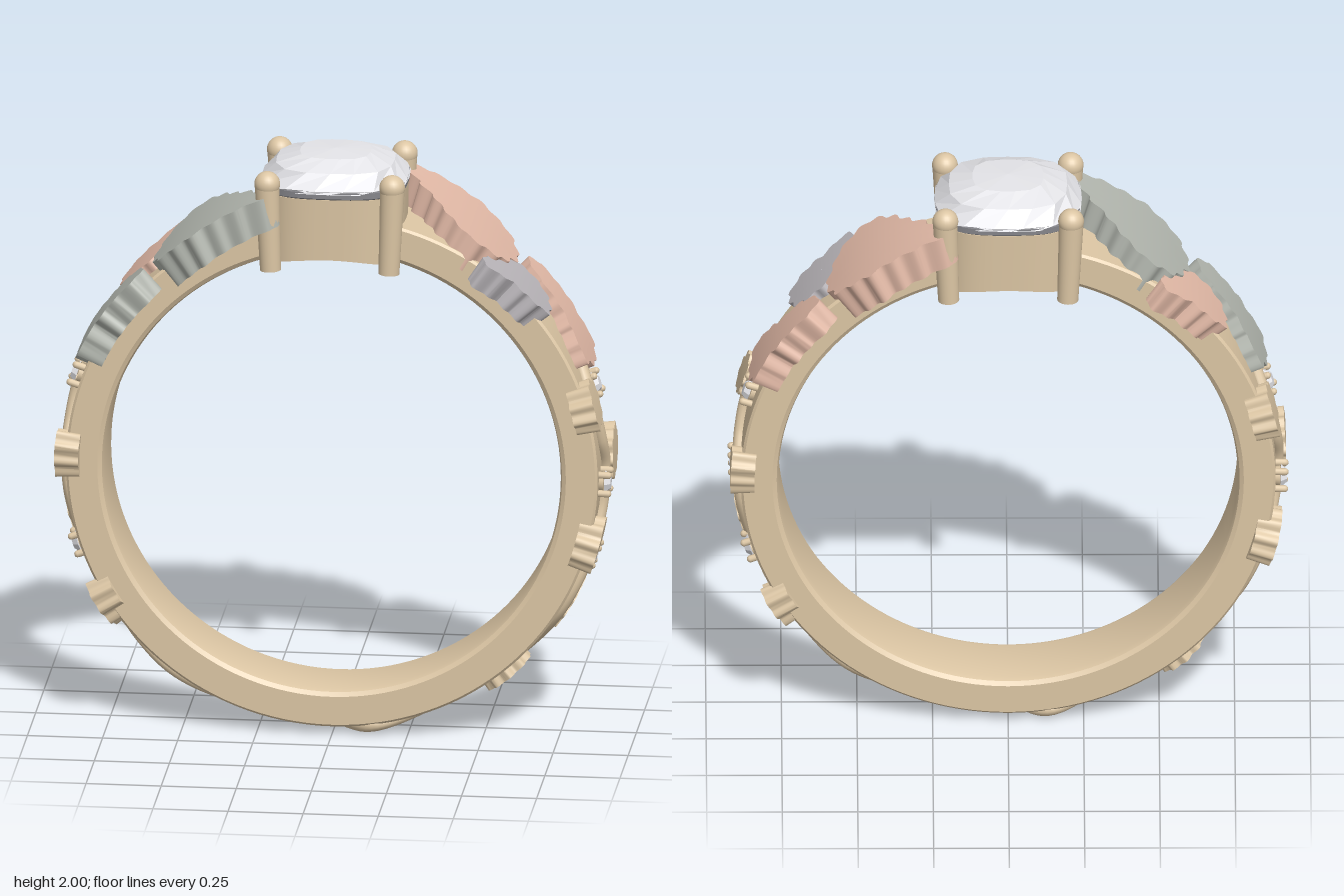
import * as THREE from 'three';
import { toCreasedNormals } from 'three/addons/utils/BufferGeometryUtils.js';

const CY = 0.915, INNER = 0.76, OUTER = 0.885, HALF = 0.135;
const rad = THREE.MathUtils.degToRad;
const mat = (color) => new THREE.MeshStandardMaterial({ color });
const gold = mat(0xdcc6a4), pink = mat(0xe3baa7), sage = mat(0xb3b7af);
const mauve = mat(0xbab6ba), clear = mat(0xe4e4e8), girdleGrey = mat(0x85858a);

function add(parent, name, geometry, material) {
  const mesh = new THREE.Mesh(geometry, material);
  mesh.name = name;
  parent.add(mesh);
  return mesh;
}

// Skin over equal-length closed loops of [x, y, z]
function skin(loops) {
  const n = loops[0].length, index = [];
  for (let i = 0; i < loops.length - 1; i++) {
    for (let j = 0; j < n; j++) {
      const a = i * n + j, b = i * n + (j + 1) % n;
      index.push(a, b, b + n, a, b + n, a + n);
    }
  }
  const g = new THREE.BufferGeometry();
  g.setAttribute('position', new THREE.Float32BufferAttribute(loops.flat(2), 3));
  g.setIndex(index);
  return g;
}

// Point on the ring: angle from the top, towards +x
const onRing = (a, r, z) => [r * Math.sin(a), CY + r * Math.cos(a), z];

// Rounded-square plan shared by head and stone
function cushion(n, k, y, shift = 0, w = 0.245, d = 0.225) {
  return Array.from({ length: n }, (_, j) => {
    const t = (j + shift) / n * Math.PI * 2, c = Math.cos(t), s = Math.sin(t);
    const f = Math.pow(Math.abs(c) ** 3 + Math.abs(s) ** 3, -1 / 3);
    const x = c * f * k * w, z = -s * f * k * d;
    return [x, typeof y === 'function' ? y(x) : y, z];
  });
}

// Leaf with a rippled edge, bent round the ring; points are [degrees, z]
function leafGeometry(points, lobes, ripple, top, thick) {
  const curve = new THREE.CatmullRomCurve3(
    points.map(([a, z]) => new THREE.Vector3(rad(a) * 0.9, z, 0)), true);
  const edge = curve.getSpacedPoints(lobes * 8).slice(0, -1).reverse();
  const mid = edge.reduce((s, p) => s.add(p), new THREE.Vector3()).divideScalar(edge.length);
  edge.forEach((p, i) => {
    const d = p.clone().sub(mid).normalize();
    p.addScaledVector(d, ripple * (Math.sin(i / 8 * Math.PI * 2) + 0.4 * Math.sin(i * 0.43)));
  });
  const loop = (k, drop) => edge.map((p) => {
    const a = (mid.x + (p.x - mid.x) * k) / 0.9;
    return onRing(a, top(a) - drop, mid.y + (p.y - mid.y) * k);
  });
  return toCreasedNormals(skin([
    loop(0.002, thick), loop(0.5, thick), loop(1, thick),
    loop(1, 0), loop(0.75, 0), loop(0.5, 0), loop(0.25, 0), loop(0.002, 0),
  ]), 0.7);
}

// Small pointed leaf outline around a centre
function smallOutline(angle, z, turn, size) {
  return Array.from({ length: 10 }, (_, i) => {
    const t = i / 10 * Math.PI * 2, w = i === 0 ? 1.15 : 0.95;
    const u = Math.cos(t) * w * size, v = Math.sin(t) * size * 0.78;
    const s = u * Math.cos(turn) - v * Math.sin(turn);
    return [angle + THREE.MathUtils.radToDeg(s / 0.9), z + u * Math.sin(turn) + v * Math.cos(turn)];
  });
}

// Tiny gem in a four-claw seat
function accentGem(angle, z) {
  const g = new THREE.Group();
  g.name = 'accentGem';
  add(g, 'gemSeat', new THREE.CylinderGeometry(0.034, 0.028, 0.03, 16), gold).position.y = -0.012;
  const stone = new THREE.CylinderGeometry(0.022, 0.04, 0.02, 8).toNonIndexed();
  stone.computeVertexNormals();
  add(g, 'gemStone', stone, clear).position.y = 0.016;
  for (const sx of [-1, 1]) for (const sz of [-1, 1]) {
    const claw = add(g, 'gemClaw', new THREE.CapsuleGeometry(0.012, 0.03, 4, 10), gold);
    claw.position.set(sx * 0.032, 0.004, sz * 0.032);
  }
  g.position.set(...onRing(rad(angle), 0.897, z));
  g.rotation.z = -rad(angle);
  return g;
}

// Everything carried on one shoulder of the ring
function shoulder(name, colors) {
  const g = new THREE.Group();
  g.name = name;
  const rise = (a) => THREE.MathUtils.mapLinear(Math.min(a, rad(41)), rad(11), rad(41), 1.0, 0.92);
  const level = () => 0.92;
  add(g, 'largeLeaf', leafGeometry([[11, -0.22], [19, -0.235], [31, -0.23], [38, -0.17], [40.5, -0.08],
    [39, 0.02], [34, 0.115], [27, 0.12], [23, 0.06], [17, -0.06], [13, -0.15]], 17, 0.008, rise, 0.11), colors[0]);
  add(g, 'middleLeaf', leafGeometry([[34, 0.19], [34, 0.1], [36, -0.01], [42, -0.04], [48, -0.03],
    [51, 0.03], [52, 0.1], [48, 0.16], [42, 0.165], [38, 0.19]], 13, 0.008, level, 0.09), colors[1]);
  add(g, 'lowerLeaf', leafGeometry([[44, -0.165], [52, -0.17], [59, -0.155], [65, -0.15], [67.5, -0.05],
    [65, 0.055], [60, 0.04], [55, -0.01], [47, -0.05], [43, -0.1]], 14, 0.008, () => 0.928, 0.09), colors[2]);
  const small = [[73, 0.12, 0.8, 0.086], [88.4, -0.1, -2.4, 0.092], [104.5, 0.09, 0.7, 0.092],
    [123, -0.08, -2.5, 0.09], [140, 0.03, 0.6, 0.085]];
  for (const [a, z, turn, size] of small) {
    add(g, 'smallLeaf', leafGeometry(smallOutline(a, z, turn, size), 9, 0.007, level, 0.08), gold);
  }
  for (const [a, z] of [[71.5, -0.03], [91.6, 0.06], [109.5, -0.03]]) g.add(accentGem(a, z));
  return g;
}

export function createModel() {
  const ring = new THREE.Group();
  ring.name = 'ring';

  // Band, open under the head, with softened edges
  const profile = [[OUTER - 0.008, -HALF], [OUTER, -HALF + 0.008], [OUTER, HALF - 0.008], [OUTER - 0.008, HALF],
    [INNER + 0.02, HALF], [INNER + 0.006, HALF - 0.01], [INNER, HALF - 0.03], [INNER, -HALF + 0.03],
    [INNER + 0.006, -HALF + 0.01], [INNER + 0.02, -HALF], [OUTER - 0.008, -HALF]];
  const band = new THREE.LatheGeometry(profile.map((p) => new THREE.Vector2(...p)), 128,
    -(Math.PI - 0.2), 2 * (Math.PI - 0.2));
  band.rotateX(Math.PI / 2);
  add(ring, 'band', toCreasedNormals(band, 0.6), gold).position.y = CY;

  // Head: cushion block hollowed from below, following the finger hole
  const arch = (x) => CY + Math.sqrt(INNER * INNER - x * x);
  const head = skin([[0.002, 1.74], [0.58, 1.74], [0.58, arch], [0.8, arch], [0.95, arch], [0.97, 1.885],
    [0.85, 1.885], [0.002, 1.885]].map(([k, y]) => cushion(64, k, y)));
  add(ring, 'head', toCreasedNormals(head, 0.6), gold);

  // Centre stone: girdle and staggered facets
  add(ring, 'stoneGirdle', toCreasedNormals(skin([cushion(64, 0.9, 1.875), cushion(64, 0.985, 1.89),
    cushion(64, 0.985, 1.91), cushion(64, 0.9, 1.912)]), 0.5), girdleGrey);
  const crown = skin([[1, 1.905], [0.99, 1.915], [0.8, 1.965], [0.48, 1.994], [0.002, 2.0]]
    .map(([k, y], i) => cushion(16, k, y, i / 2))).toNonIndexed();
  crown.computeVertexNormals();
  add(ring, 'centreStone', crown, clear);

  // Corner prongs with domed tips
  for (const sx of [-1, 1]) for (const sz of [-1, 1]) {
    const shaft = add(ring, 'prong', new THREE.CylinderGeometry(0.041, 0.035, 0.3, 24), gold);
    shaft.position.set(sx * 0.203, 1.78, sz * 0.192);
    shaft.rotation.z = -sx * 0.04;
    add(ring, 'prongTip', new THREE.SphereGeometry(0.043, 24, 16), gold)
      .position.set(sx * 0.208, 1.927, sz * 0.192);
  }

  // Vine winding along the outside; [degrees from the bottom, z]
  const half = [[8.6, 0.11], [23, -0.02], [36, -0.085], [46, -0.05], [57.5, 0.03], [68, 0.03],
    [75, 0.0], [82.5, -0.03], [91, -0.02], [97.5, 0.03], [105, 0.05], [114, 0]];
  const path = [...half.map(([a, z]) => [-a, -z]).reverse(), [0, 0], ...half];
  const vine = new THREE.CatmullRomCurve3(path.map(([a, z]) =>
    new THREE.Vector3(...onRing(Math.PI - rad(a), 0.89, z))));
  add(ring, 'vine', new THREE.TubeGeometry(vine, 240, 0.023, 12), gold);

  // Two shoulders, the second turned half round
  ring.add(shoulder('leftShoulder', [pink, mauve, pink]));
  const other = shoulder('rightShoulder', [sage, pink, sage]);
  other.rotation.y = Math.PI;
  ring.add(other);
  return ring;
}
